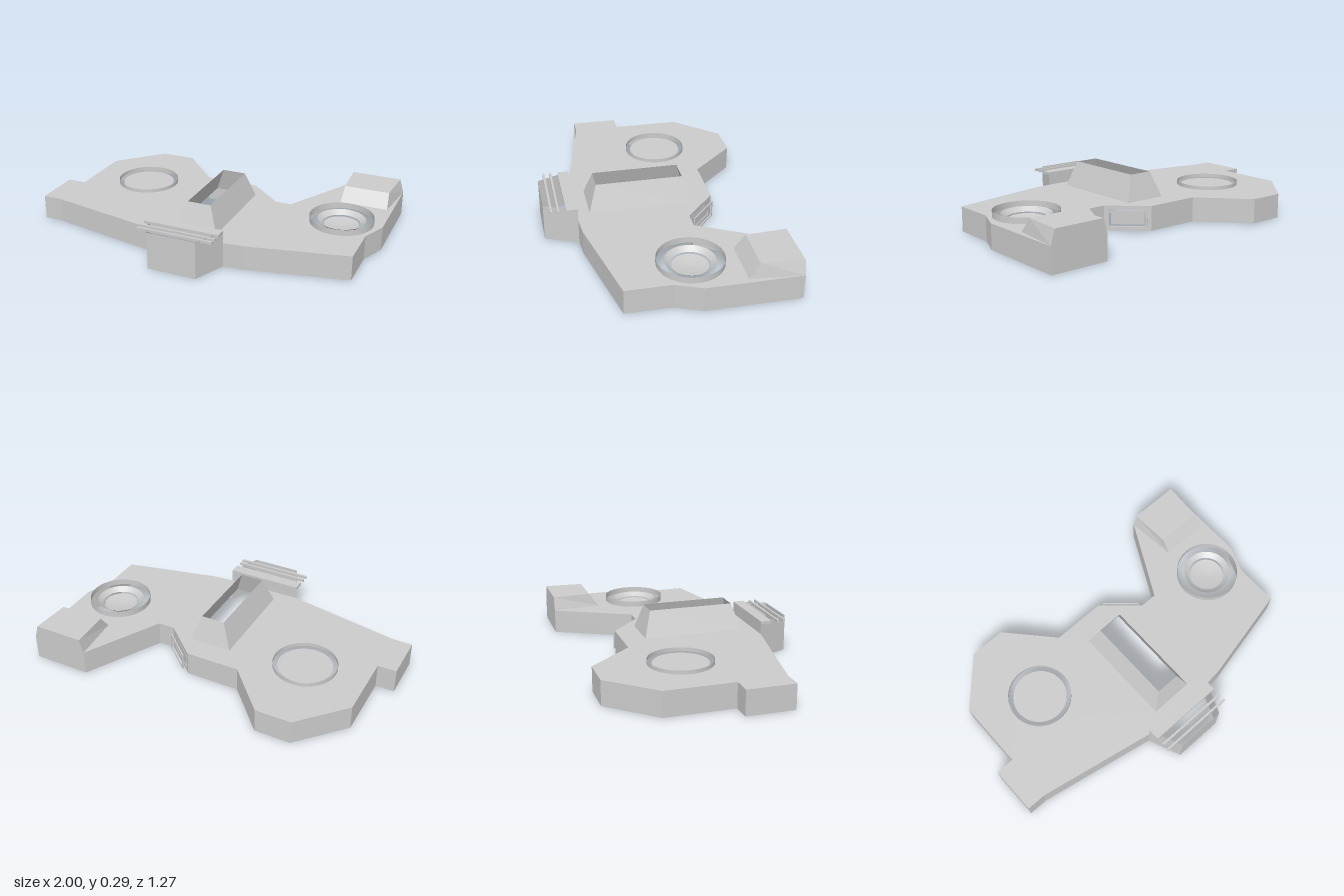
import * as THREE from 'three';

const material = new THREE.MeshStandardMaterial({ color: 0xcccccc, side: THREE.DoubleSide });
const DECK = 0.145;

function part(name, geometry, parent, x = 0, y = 0, z = 0) {
  const mesh = new THREE.Mesh(geometry, material);
  mesh.name = name;
  mesh.position.set(x, y, z);
  parent.add(mesh);
  return mesh;
}

// Flat-shaded band between two rings of [x, z] points, clockwise from above
function band(lower, y0, upper, y1, closed = true) {
  const pos = [];
  const count = closed ? lower.length : lower.length - 1;
  for (let i = 0; i < count; i++) {
    const j = (i + 1) % lower.length;
    const a = [lower[i][0], y0, lower[i][1]], b = [lower[j][0], y0, lower[j][1]];
    const c = [upper[i][0], y1, upper[i][1]], d = [upper[j][0], y1, upper[j][1]];
    pos.push(...a, ...c, ...d, ...a, ...d, ...b);
  }
  const g = new THREE.BufferGeometry();
  g.setAttribute('position', new THREE.Float32BufferAttribute(pos, 3));
  g.computeVertexNormals();
  return g;
}

// Upward-facing flat sheet from [x, z] points, with optional holes
const toVectors = (pts) => pts.map(([x, z]) => new THREE.Vector2(x, -z));
function sheet(pts, holes = []) {
  const shape = new THREE.Shape(toVectors(pts));
  shape.holes.push(...holes);
  return new THREE.ShapeGeometry(shape, 48).rotateX(-Math.PI / 2);
}

const circleHole = (x, z, r) => new THREE.Path().absarc(x, -z, r, 0, Math.PI * 2, true);
const rect = (x0, x1, z0, z1) => [[x0, z0], [x1, z0], [x1, z1], [x0, z1]];
const tube = (r, h) => new THREE.CylinderGeometry(r, r, h, 64, 1, true);
const lathe = (pts) => new THREE.LatheGeometry(pts.map(([r, y]) => new THREE.Vector2(r, y)), 64);

function rectShape(w, h, holeW, holeH) {
  const corners = (a, b) => [[-a, -b], [a, -b], [a, b], [-a, b]]
    .map(([x, y]) => new THREE.Vector2(x / 2, y / 2));
  const s = new THREE.Shape(corners(w, h));
  if (holeW) s.holes.push(new THREE.Path(corners(holeW, holeH)));
  return s;
}

export function createModel() {
  const root = new THREE.Group();
  root.name = 'consoleShell';

  // Hollow body: side walls and deck
  const leftPath = [[-0.2, 0.445], [-0.89, 0.31], [-1, 0.31], [-1, 0.03], [-0.89, 0.03],
    [-0.89, -0.37], [-0.65, -0.628], [-0.44, -0.628], [-0.2, -0.365], [0.12, -0.365]];
  const rightBack = [[0.32, -0.185], [0.42, -0.185], [0.655, -0.635]];
  const rightFront = [[0.997, -0.635], [1, -0.1], [0.94, 0.05], [0.94, 0.31],
    [0.37, 0.435], [0.25, 0.445]];
  const rightPath = [...rightBack, ...rightFront];
  part('rightWalls', band(leftPath, 0, leftPath, DECK, false), root);
  part('leftWalls', band(rightPath, 0, rightPath, DECK, false), root);

  const plainDial = [-0.525, -0.157], dishDial = [0.765, -0.08];
  const slotBase = rect(-0.08, 0.175, -0.23, 0.37);
  const slotTop = rect(-0.02, 0.12, -0.185, 0.322);
  // The deck is notched under the rear hood
  const deck = [...leftPath, ...rightBack, [0.683, -0.34], [0.967, -0.34], ...rightFront];
  part('deck', sheet(deck, [
    circleHole(...plainDial, 0.185), circleHole(...dishDial, 0.185),
    new THREE.Path(toVectors(slotBase)),
  ]), root, 0, DECK, 0);

  // Open tapered slot in the middle
  part('slotSurround', band(slotBase, DECK, slotTop, 0.295), root);

  // Round collars with loose discs
  part('plainCollar', tube(0.185, 0.022), root, plainDial[0], DECK + 0.011, plainDial[1]);
  part('plainDisc', new THREE.CircleGeometry(0.158, 64).rotateX(-Math.PI / 2), root,
    plainDial[0], DECK, plainDial[1]);
  part('dishCollar', tube(0.185, 0.035), root, dishDial[0], DECK + 0.0175, dishDial[1]);
  part('dishFunnel', lathe([[0.11, 0.135], [0.14, 0.16]]), root, dishDial[0], 0, dishDial[1]);
  part('dishCentre', lathe([[0, 0.118], [0.05, 0.121], [0.1, 0.13]]), root,
    dishDial[0], 0, dishDial[1]);

  // Rear hood with sloping sides
  const hoodBase = [[0.655, -0.635], [0.997, -0.635], [0.967, -0.34], [0.683, -0.34]];
  const hoodTop = [[0.677, -0.635], [0.972, -0.635], [0.958, -0.4], [0.69, -0.4]];
  part('hoodSides', band(hoodBase, DECK, hoodTop, 0.228), root);
  part('hoodTop', sheet(hoodTop), root, 0, 0.228, 0);

  // Front box with chamfered sides, open below and topped by slats
  const frontBox = [[0.25, 0.445], [0.17, 0.635], [-0.12, 0.635], [-0.2, 0.445]];
  part('frontBox', band(frontBox, 0, frontBox, 0.22, false), root);
  const boxBack = [[-0.2, 0.445], [0.25, 0.445]];
  part('frontBoxBack', band(boxBack, DECK, boxBack, 0.22, false), root);
  for (const [z, depth] of [[0.478, 0.066], [0.555, 0.013], [0.595, 0.013]]) {
    part('slat', new THREE.BoxGeometry(0.45, 0.016, depth), root, 0.025, 0.214, z);
  }

  // Diagonal rear wall with a window, its panel and a raised rim
  const rear = new THREE.Group();
  rear.name = 'rearWindow';
  rear.position.set(0.22, DECK / 2, -0.275);
  rear.rotation.y = Math.atan2(0.18, -0.2);
  root.add(rear);
  part('windowWall', new THREE.ShapeGeometry(rectShape(0.269, DECK, 0.22, 0.1)), rear);
  part('windowPanel', new THREE.ShapeGeometry(rectShape(0.19, 0.07)), rear);
  part('windowRim', new THREE.ExtrudeGeometry(rectShape(0.22, 0.1, 0.2, 0.08),
    { depth: 0.008, bevelEnabled: false }), rear, 0, 0, 0.018);

  return root;
}
